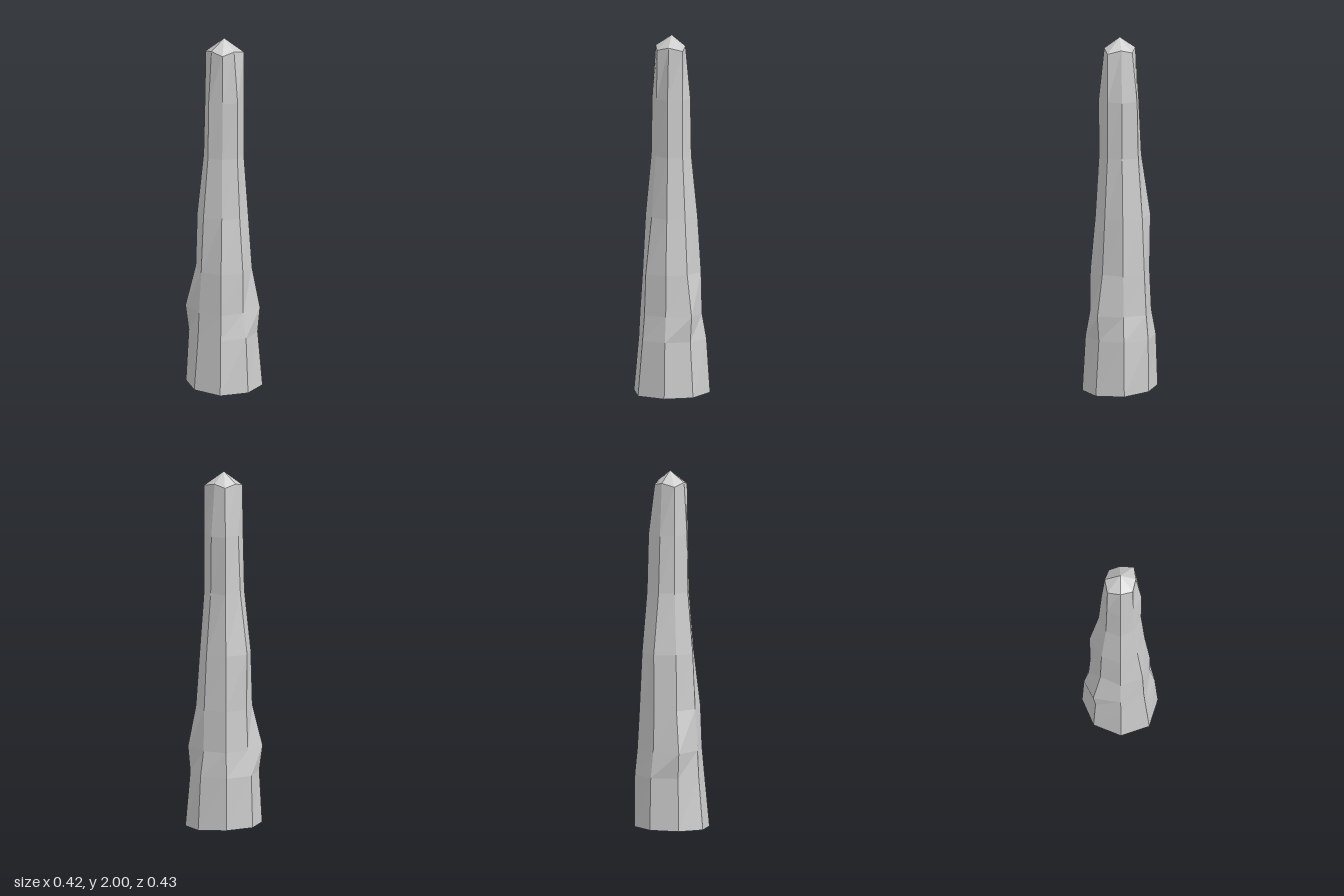
import * as THREE from 'three';

// Each ring: height, then distance from the axis along eight directions,
// starting at +x and turning towards +z. Diagonal values are x/z offsets.
const RINGS = [
  [0.01, 0.207, 0.157, 0.212, 0.149, 0.21, 0.142, 0.215, 0.15],
  [0.31, 0.19, 0.136, 0.185, 0.138, 0.2, 0.141, 0.195, 0.131],
  [0.45, 0.165, 0.127, 0.178, 0.151, 0.175, 0.131, 0.17, 0.14],
  [0.68, 0.163, 0.121, 0.163, 0.111, 0.165, 0.122, 0.165, 0.109],
  [0.99, 0.135, 0.094, 0.147, 0.105, 0.17, 0.112, 0.145, 0.094],
  [1.33, 0.115, 0.075, 0.115, 0.08, 0.12, 0.092, 0.11, 0.077],
  [1.65, 0.117, 0.071, 0.11, 0.075, 0.105, 0.086, 0.105, 0.077],
  [1.94, 0.086, 0.068, 0.09, 0.072, 0.086, 0.062, 0.077, 0.077],
];
const SIDES = 8;

function ringPoints([y, ...offsets], level) {
  return offsets.map((offset, i) => {
    const diagonal = i % 2 === 1;
    const r = diagonal ? offset * Math.SQRT2 : offset;
    const a = (i / SIDES) * Math.PI * 2;
    const x = r * Math.cos(a);
    let height = y;
    if (level === 0) height -= x * 0.048; // slightly tilted foot
    if (level === RINGS.length - 1 && diagonal) height -= 0.017; // uneven shoulder
    return [x, height, r * Math.sin(a)];
  });
}

export function createModel() {
  const group = new THREE.Group();
  group.name = 'woodenPost';

  const rings = RINGS.map(ringPoints);
  const positions = rings.flat(2);
  const indices = [];
  const footCentre = RINGS.length * SIDES;
  const tip = footCentre + 1;
  positions.push(0, 0.01, 0, 0, 2, 0);

  for (let i = 0; i < SIDES; i++) {
    const j = (i + 1) % SIDES;
    // tapering sides
    for (let k = 0; k < RINGS.length - 1; k++) {
      const low = k * SIDES, high = low + SIDES;
      indices.push(low + i, high + i, low + j, high + i, high + j, low + j);
    }
    // pointed cap and flat foot
    const last = (RINGS.length - 1) * SIDES;
    indices.push(last + i, tip, last + j);
    indices.push(i, j, footCentre);
  }

  const indexed = new THREE.BufferGeometry();
  indexed.setAttribute('position', new THREE.Float32BufferAttribute(positions, 3));
  indexed.setIndex(indices);
  const geometry = indexed.toNonIndexed();
  geometry.computeVertexNormals();

  const material = new THREE.MeshStandardMaterial({ color: 0xcccccc, flatShading: true });
  const post = new THREE.Mesh(geometry, material);
  post.name = 'post';
  group.add(post);
  return group;
}
